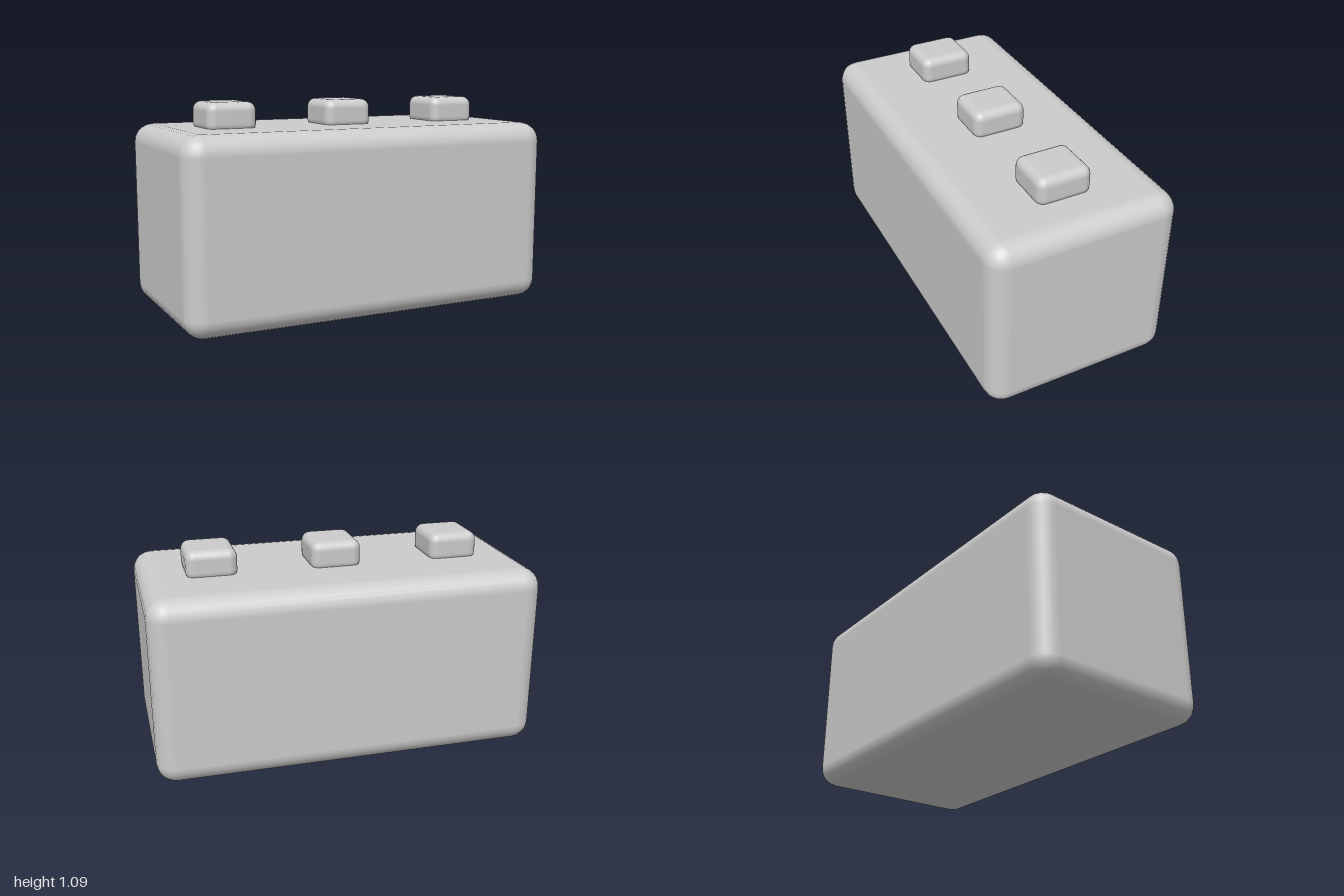
import * as THREE from 'three';
import { RoundedBoxGeometry } from 'three/addons/geometries/RoundedBoxGeometry.js';

export function createModel() {
  const model = new THREE.Group();
  const grey = new THREE.MeshStandardMaterial({ color: 0xcccccc });
  grey.name = 'plain grey';

  // Rounded block placed by its bottom and top heights
  function block(name, width, depth, bottom, top, radius, x = 0) {
    const geometry = new RoundedBoxGeometry(width, top - bottom, depth, 3, radius);
    const mesh = new THREE.Mesh(geometry, grey);
    mesh.name = name;
    mesh.position.set(x, (bottom + top) / 2, 0);
    model.add(mesh);
  }

  // Main body
  block('body', 2, 0.99, 0, 0.96, 0.1);

  // Row of three buttons, sunk slightly into the top
  ['rightButton', 'middleButton', 'leftButton'].forEach((name, i) => {
    block(name, 0.26, 0.284, 0.935, 1.09, 0.045, (i - 1) * 0.64);
  });

  return model;
}
